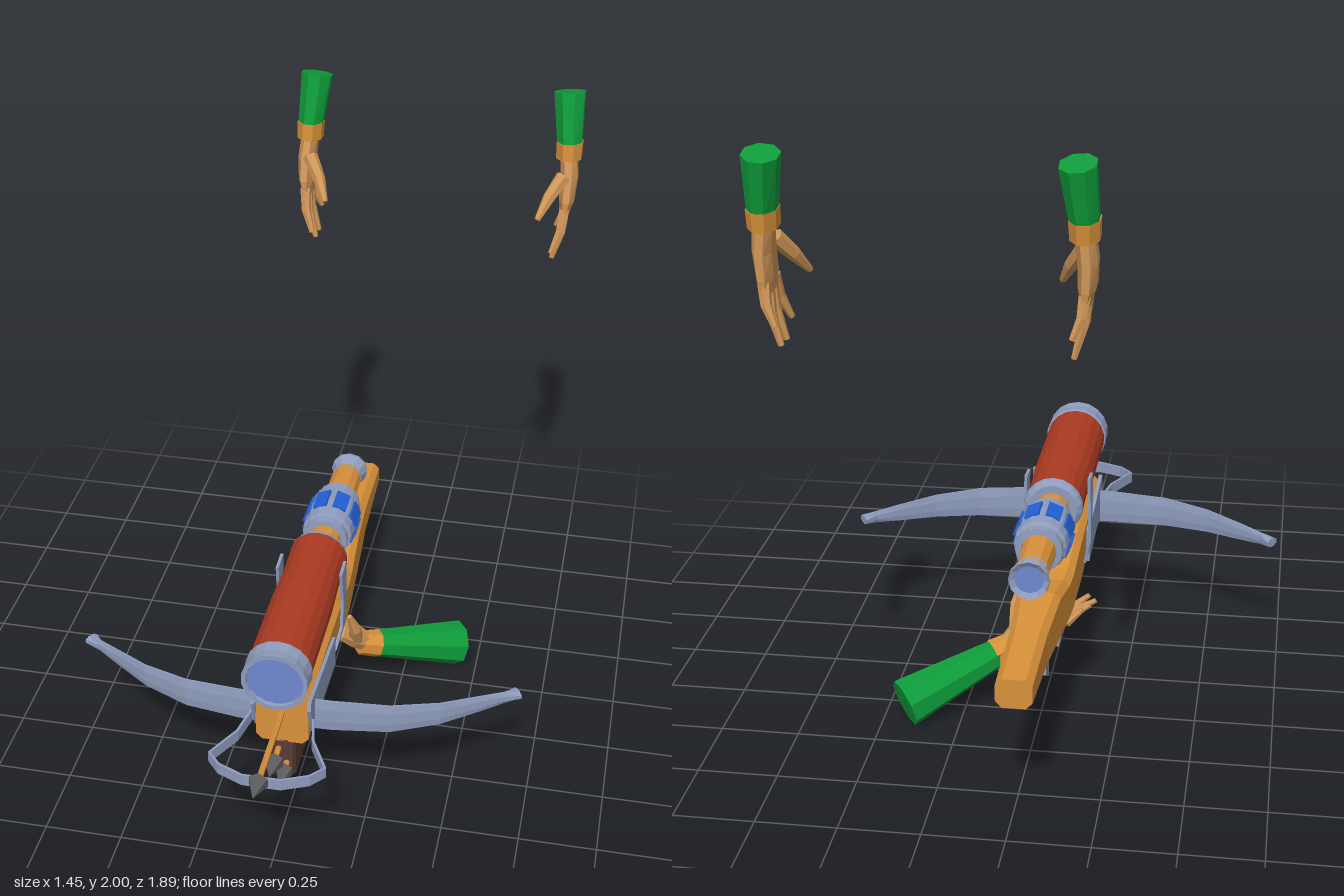
import * as THREE from 'three';

const CX = -0.01; // centre line of the weapon

const paint = (name, color) => {
  const m = new THREE.MeshStandardMaterial({ color, flatShading: true, side: THREE.DoubleSide });
  m.name = name;
  return m;
};

// Closed skin through a list of rings with equal point counts
function loft(rings) {
  const n = rings[0].length, pos = [], idx = [];
  rings.forEach(r => r.forEach(p => pos.push(p.x, p.y, p.z)));
  for (let i = 0; i < rings.length - 1; i++) {
    for (let j = 0; j < n; j++) {
      const a = i * n + j, b = i * n + (j + 1) % n;
      idx.push(a, b, b + n, a, b + n, a + n);
    }
  }
  const last = (rings.length - 1) * n;
  for (let j = 1; j < n - 1; j++) idx.push(0, j + 1, j, last, last + j, last + j + 1);
  const g = new THREE.BufferGeometry();
  g.setAttribute('position', new THREE.Float32BufferAttribute(pos, 3));
  g.setIndex(idx);
  g.computeVertexNormals();
  return g;
}

// Tapered rod through points; radii are numbers or [across, along ref]
function rod(points, radii, sides = 6, ref = [0, 0, 1]) {
  const P = points.map(p => new THREE.Vector3(...p)), R = new THREE.Vector3(...ref);
  return loft(P.map((p, i) => {
    const t = P[Math.min(i + 1, P.length - 1)].clone().sub(P[Math.max(i - 1, 0)]).normalize();
    const u = R.clone().cross(t).normalize(), v = t.clone().cross(u);
    const [a, b] = [radii[i]].flat().length === 2 ? radii[i] : [radii[i], radii[i]];
    return Array.from({ length: sides }, (_, k) => {
      const w = (k + 0.5) / sides * Math.PI * 2;
      return p.clone().addScaledVector(u, a * Math.cos(w)).addScaledVector(v, b * Math.sin(w));
    });
  }));
}

// Chamfered rectangles along z: [z, half width, bottom, top]
function beam(sections, c) {
  return loft(sections.map(([z, w, b, t]) => [
    [w, b + c], [w, t - c], [w - c, t], [c - w, t], [-w, t - c], [-w, b + c], [c - w, b], [w - c, b],
  ].map(([x, y]) => new THREE.Vector3(CX + x, y, z))));
}

export function createModel() {
  const root = new THREE.Group();
  root.name = 'crossbowWithHands';
  const wood = paint('wood', 0xd8913a), red = paint('redBody', 0xad3b22), steel = paint('steel', 0x8f9cbd),
    blue = paint('blueWindow', 0x2560d8), lens = paint('lens', 0x6f88d0), green = paint('sleeveGreen', 0x0f9c3a),
    skin = paint('skin', 0xcf9658), brown = paint('magazineBrown', 0x573c36),
    dark = paint('arrowheadDark', 0x5c5c5e), grey = paint('grey', 0x8c8c8e);

  const add = (name, geo, mat, parent = root) => {
    const m = new THREE.Mesh(geo, mat);
    m.name = name;
    parent.add(m);
    return m;
  };
  const group = name => {
    const g = new THREE.Group();
    g.name = name;
    root.add(g);
    return g;
  };

  // Stock
  add('stock', beam([
    [-0.89, 0.055, 0.385, 0.478], [-0.6, 0.058, 0.357, 0.492], [-0.38, 0.07, 0.335, 0.505],
    [-0.22, 0.078, 0.32, 0.472], [-0.15, 0.082, 0.32, 0.475], [0.02, 0.085, 0.332, 0.505],
    [0.2, 0.085, 0.345, 0.512], [0.55, 0.085, 0.33, 0.512],
  ], 0.02), wood);
  add('magazine', beam([
    [0.13, 0.032, 0.19, 0.33], [0.15, 0.04, 0.172, 0.345], [0.53, 0.04, 0.172, 0.345], [0.55, 0.032, 0.185, 0.335],
  ], 0.015), brown);
  add('grip', rod([[CX, 0.36, -0.325], [CX, 0.28, -0.345], [CX, 0.215, -0.385]],
    [[0.04, 0.055], [0.035, 0.052], [0.04, 0.056]], 4), grey);

  // Scope, turned around the z axis
  const scope = group('scope');
  scope.position.set(CX, 0.643, 0);
  const turned = (name, profile, mat, seg = 18) =>
    add(name, new THREE.LatheGeometry(profile.map(p => new THREE.Vector2(...p)), seg), mat, scope)
      .rotation.x = Math.PI / 2;
  turned('scopeBody', [[0, -0.03], [0.096, -0.03], [0.094, 0.1], [0.1, 0.25], [0.1, 0.58]], red);
  turned('frontRim', [[0.1, 0.575], [0.106, 0.58], [0.102, 0.62], [0.105, 0.65], [0.09, 0.65], [0.088, 0.635]], steel);
  turned('frontLens', [[0.09, 0.638], [0, 0.638]], lens);
  turned('rearCollar', [[0, -0.052], [0.08, -0.052], [0.094, -0.04], [0.097, -0.025]], steel);
  turned('neckTube', [[0.05, -0.535], [0.055, -0.37], [0.055, -0.13], [0.055, -0.05]], wood, 12);
  turned('adjusterBarrel', [[0.055, -0.375], [0.074, -0.373], [0.074, -0.345], [0.084, -0.335], [0.089, -0.25],
    [0.084, -0.165], [0.074, -0.16], [0.074, -0.132], [0.055, -0.13]], steel, 16);
  turned('eyepiece', [[0.045, -0.575], [0.062, -0.586], [0.064, -0.575], [0.045, -0.54], [0.053, -0.52], [0.04, -0.515]], steel, 12);
  turned('rearLens', [[0, -0.572], [0.048, -0.572]], lens, 12);
  for (let i = 0; i < 8; i++) {
    const a = (i + 0.5) / 8 * Math.PI * 2;
    const w = add('blueWindow', new THREE.BoxGeometry(0.009, 0.048, 0.09), blue, scope);
    w.position.set(Math.cos(a) * 0.087, Math.sin(a) * 0.087, -0.25);
    w.rotation.z = a;
  }
  add('frontPost', new THREE.BoxGeometry(0.012, 0.06, 0.04), steel).position.set(CX, 0.525, 0.55);

  // Bow limbs, side plates and scope brackets on both sides
  for (const s of [-1, 1]) {
    const side = s > 0 ? 'left' : 'right';
    add(side + 'Limb', rod([[0, 0.5], [0.15, 0.497], [0.33, 0.477], [0.48, 0.42], [0.6, 0.345], [0.67, 0.3], [0.71, 0.27]]
      .map(([x, z]) => [CX + s * x, 0.416, z]),
    [[0.007, 0.064], [0.007, 0.062], [0.008, 0.056], [0.007, 0.045], [0.007, 0.032], [0.009, 0.022], [0.026, 0.016]],
    8, [0, 1, 0]), steel);
    const plate = new THREE.Shape([[-0.17, 0.355], [-0.17, 0.47], [-0.38, 0.49], [-0.56, 0.51], [-0.57, 0.48],
      [-0.52, 0.36], [-0.4, 0.375]].map(p => new THREE.Vector2(...p)));
    const p = add(side + 'Plate', new THREE.ExtrudeGeometry(plate, { depth: 0.012, bevelEnabled: false }), steel);
    p.rotation.y = Math.PI / 2;
    p.position.x = CX + s * 0.09 - 0.006;
    add(side + 'Bracket', rod([[0.105, 0.7, 0.1], [0.107, 0.58, 0.09], [0.107, 0.48, 0.1], [0.092, 0.4, 0.125]]
      .map(([x, y, z]) => [CX + s * x, y, z]), [[0.007, 0.052], [0.007, 0.035], [0.007, 0.04], [0.007, 0.058]], 4), steel);
  }

  // Stirrup in front
  add('stirrup', rod([[-0.1, 0.55], [-0.12, 0.65], [-0.18, 0.765], [-0.14, 0.81], [-0.06, 0.845], [0.06, 0.845], [0.14, 0.81],
    [0.18, 0.765], [0.12, 0.65], [0.1, 0.55]].map(([x, z]) => [CX + x, 0.418, z]),
  Array(10).fill([0.006, 0.027]), 4, [0, 1, 0]), steel);

  // Arrows: [x, y, back z, tip z]
  [[0, 0.447, 0.3, 0.95, 0.033], [-0.012, 0.3, -0.11, 0.69, 0.033],
    [0.014, 0.245, -0.08, 0.665, 0.03], [0, 0.197, -0.13, 0.6, 0.028]].forEach(([x, y, back, tip, r], i) => {
    const a = group('arrow');
    a.position.set(CX + x, y, 0);
    add('shaft', rod([[0, 0, back], [0, 0, tip - 0.06]], [0.01, 0.01], 6, [0, 1, 0]), wood, a);
    add('arrowhead', rod([[0, 0, tip - 0.085], [0, 0, tip - 0.075], [0, 0, tip]], [0.018, r, 0.001], 6, [0, 1, 0]), dark, a);
    if (i) for (let k = 0; k < 3; k++) {
      const f = add('fletching', new THREE.BoxGeometry(0.003, 0.028, 0.075), grey, a);
      const w = k / 3 * Math.PI * 2;
      f.position.set(-Math.sin(w) * 0.02, Math.cos(w) * 0.02, back + 0.04);
      f.rotation.z = w;
    }
  });

  // Hand under the stock
  const grab = group('supportHand');
  add('sleeve', rod([[0.155, 0.18, -0.195], [0.425, 0.08, -0.385]], [0.047, 0.08], 8, [0, 1, 0]), green, grab);
  add('cuff', rod([[0.11, 0.197, -0.165], [0.165, 0.177, -0.2]], [0.043, 0.05], 8, [0, 1, 0]), wood, grab);
  add('palm', rod([[0.13, 0.19, -0.18], [0.09, 0.24, -0.15], [0.05, 0.285, -0.125], [0, 0.3, -0.12]],
    [[0.035, 0.03], [0.035, 0.05], [0.025, 0.062], [0.016, 0.06]], 8), skin, grab);
  add('thumb', rod([[0.1, 0.24, -0.13], [0.105, 0.31, -0.09], [0.09, 0.385, -0.06]], [0.026, 0.022, 0.009]), skin, grab);
  [-0.185, -0.15, -0.115, -0.08].forEach((z, i) => {
    const reach = [-0.125, -0.145, -0.16, -0.135][i];
    add('finger', rod([[0.02, 0.295, z * 0.5 - 0.06], [-0.08, 0.305, z], [reach, 0.35, z + 0.005]], [0.017, 0.015, 0.008]), skin, grab);
  });

  // Pair of hanging hands, mirrored about x = 0.23
  for (const s of [-1, 1]) {
    const hand = group(s > 0 ? 'leftHand' : 'rightHand');
    const at = pts => pts.map(([x, y, z]) => [0.23 + s * x, y, z]);
    add('sleeve', rod(at([[0.42, 1.995, -0.887], [0.435, 1.82, -0.845]]), [[0.054, 0.06], [0.042, 0.06]], 8), green, hand);
    add('cuff', rod(at([[0.434, 1.84, -0.848], [0.435, 1.785, -0.842]]), [[0.046, 0.064], [0.044, 0.062]], 8), wood, hand);
    add('palm', rod(at([[0.435, 1.79, -0.842], [0.442, 1.72, -0.83], [0.44, 1.65, -0.818], [0.435, 1.6, -0.815]]),
      [[0.03, 0.05], [0.03, 0.064], [0.027, 0.076], [0.016, 0.07]], 8), skin, hand);
    add('thumb', rod(at([[0.425, 1.74, -0.785], [0.385, 1.68, -0.74], [0.355, 1.62, -0.69]]), [0.026, 0.021, 0.01]), skin, hand);
    // Fingers: root z, tip z, tip y
    [[-0.768, -0.72, 1.49], [-0.8, -0.783, 1.445], [-0.833, -0.84, 1.445], [-0.865, -0.893, 1.515]].forEach(([z0, z1, y]) =>
      add('finger', rod(at([[0.437, 1.63, z0], [0.43, (1.63 + y) / 2, (z0 + z1) / 2], [0.405, y, z1]]),
        [0.019, 0.016, 0.009]), skin, hand));
  }
  return root;
}
